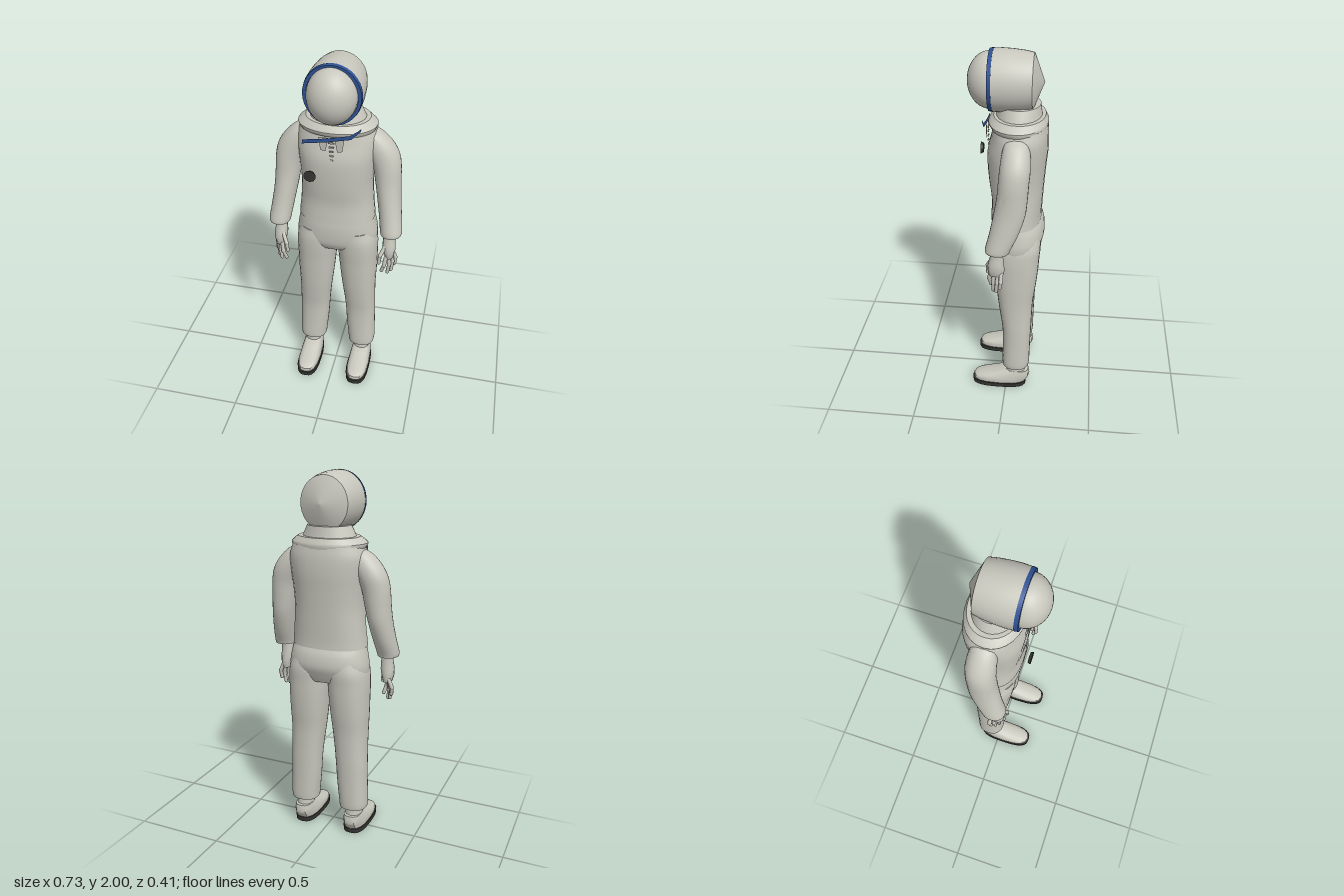
import * as THREE from 'three';
import { toCreasedNormals } from 'three/addons/utils/BufferGeometryUtils.js';

const material = (name, color, extra = {}) => {
  const m = new THREE.MeshStandardMaterial({ color, ...extra });
  m.name = name;
  return m;
};

// Closed loft through horizontal rings [y, centreX, halfWidth, zBack, zFront], listed upwards
function loft(rings, { sides = 28, steps = 4, power = 0.85, crease = 0.8 } = {}) {
  const centres = new THREE.CatmullRomCurve3(
    rings.map(([y, cx, , b, f]) => new THREE.Vector3(cx, y, (b + f) / 2)), false, 'catmullrom');
  const radii = new THREE.CatmullRomCurve3(
    rings.map(([, , rx, b, f]) => new THREE.Vector3(rx, 0, (f - b) / 2)), false, 'catmullrom');
  const n = (rings.length - 1) * steps;
  const pos = [], idx = [];
  const bend = v => Math.sign(v) * Math.abs(v) ** power;
  for (let i = 0; i <= n; i++) {
    const c = centres.getPoint(i / n), r = radii.getPoint(i / n);
    for (let j = 0; j < sides; j++) {
      const t = (j / sides) * Math.PI * 2;
      pos.push(c.x + r.x * bend(Math.cos(t)), c.y, c.z + r.z * bend(Math.sin(t)));
    }
  }
  for (let i = 0; i < n; i++) for (let j = 0; j < sides; j++) {
    const k = (j + 1) % sides;
    const a = i * sides + j, b = i * sides + k, c = a + sides, d = b + sides;
    idx.push(a, c, b, b, c, d);
  }
  // End caps
  const low = pos.length / 3, high = low + 1, last = n * sides;
  pos.push(...centres.getPoint(0).toArray(), ...centres.getPoint(1).toArray());
  for (let j = 0; j < sides; j++) {
    const k = (j + 1) % sides;
    idx.push(low, j, k, high, last + k, last + j);
  }
  const g = new THREE.BufferGeometry();
  g.setAttribute('position', new THREE.Float32BufferAttribute(pos, 3));
  g.setIndex(idx);
  return toCreasedNormals(g, crease);
}

// Lathe turned to run along z, slightly taller than wide
function latheZ(profile, crease = 0.6) {
  const g = new THREE.LatheGeometry(profile.map(([r, z]) => new THREE.Vector2(r, z)), 40);
  g.rotateX(Math.PI / 2).scale(1, 1.065, 1).translate(0, 1.845, 0);
  return toCreasedNormals(g, crease);
}

export function createModel() {
  const model = new THREE.Group();
  const suit = material('suit grey', 0xc9c8be);
  const blue = material('trim blue', 0x2f5294, { side: THREE.DoubleSide });
  const dark = material('sole black', 0x353532);
  const flap = material('flap grey', 0xc0bfb5, { side: THREE.DoubleSide });
  const add = (name, geometry, mat = suit, parent = model) => {
    const mesh = new THREE.Mesh(geometry, mat);
    mesh.name = name;
    parent.add(mesh);
    return mesh;
  };

  // Jacket and hips
  add('jacket', loft([
    [1.10, 0, 0.207, -0.178, 0.092], [1.14, 0, 0.203, -0.178, 0.09], [1.22, 0, 0.195, -0.182, 0.088],
    [1.32, 0, 0.19, -0.188, 0.1], [1.42, 0, 0.197, -0.196, 0.107], [1.5, 0, 0.205, -0.203, 0.105],
    [1.58, 0, 0.208, -0.203, 0.085], [1.64, 0, 0.19, -0.195, 0.075]]));
  add('hips', loft([
    [0.91, 0, 0.19, -0.16, 0.06], [0.95, 0, 0.218, -0.178, 0.08], [1.0, 0, 0.222, -0.195, 0.088],
    [1.06, 0, 0.212, -0.19, 0.09], [1.105, 0, 0.202, -0.172, 0.087]]));

  // Neck and flared collar
  add('collar', loft([
    [1.625, 0, 0.195, -0.197, 0.09], [1.645, 0, 0.203, -0.2, 0.1], [1.655, 0, 0.198, -0.197, 0.097],
    [1.68, 0, 0.165, -0.186, 0.075]], { steps: 2, crease: 0.5, power: 0.95 }));
  add('neck', loft([
    [1.65, 0, 0.155, -0.175, 0.07], [1.69, 0, 0.138, -0.166, 0.06], [1.735, 0, 0.115, -0.16, 0.05]],
    { power: 1 }));

  // Helmet: shell, conical back, rim and visor
  add('helmetShell', latheZ([[0.13, -0.122], [0.138, -0.08], [0.144, -0.02], [0.146, 0.03], [0.144, 0.076], [0, 0.085]]));
  add('helmetBack', latheZ([[0, -0.176], [0.13, -0.122]]));
  add('helmetRim', latheZ([[0.126, 0.074], [0.146, 0.074], [0.143, 0.094], [0.126, 0.094], [0.126, 0.074]]), blue);
  const visor = add('visor', new THREE.SphereGeometry(1, 36, 24));
  visor.scale.set(0.124, 0.142, 0.115);
  visor.position.set(0, 1.845, 0.09);

  // Flat neck ribbon
  const ribbon = new THREE.Shape([
    [-0.147, 1.588], [-0.02, 1.609], [0.1, 1.637], [0.145, 1.685], [0.15, 1.702],
    [0.125, 1.68], [0.09, 1.656], [-0.02, 1.63], [-0.145, 1.61]].map(p => new THREE.Vector2(...p)));
  const ribbonMesh = add('neckRibbon', new THREE.ShapeGeometry(ribbon), blue);
  ribbonMesh.position.z = 0.115;

  // Throat flaps and laced placket
  for (const s of [-1, 1]) {
    const tab = new THREE.Shape([[s * 0.015, 1.63], [s * 0.065, 1.63], [s * 0.055, 1.56], [s * 0.03, 1.555]]
      .map(p => new THREE.Vector2(...p)));
    add('throatFlap', new THREE.ShapeGeometry(tab), flap).position.z = 0.108;
  }
  for (let i = 0; i < 5; i++) {
    const lace = add('lace', new THREE.BoxGeometry(0.03 - i * 0.004, 0.007, 0.006));
    lace.position.set(0, 1.6 - i * 0.024, 0.105);
  }

  // Chest button
  const button = new THREE.CylinderGeometry(0.032, 0.026, 0.014, 10).rotateX(Math.PI / 2);
  add('chestButton', toCreasedNormals(button, 0.5), dark).position.set(-0.1, 1.43, 0.152);

  for (const s of [-1, 1]) {
    const mirror = rings => rings.map(([y, cx, ...rest]) => [y, cx * s, ...rest]);
    const side = s > 0 ? 'left' : 'right';

    // Sleeve
    add(side + 'Sleeve', loft(mirror([
      [1.05, 0.307, 0.056, -0.035, 0.09], [1.07, 0.306, 0.059, -0.042, 0.09], [1.15, 0.294, 0.06, -0.078, 0.07],
      [1.25, 0.279, 0.063, -0.11, 0.05], [1.34, 0.268, 0.068, -0.12, 0.035], [1.42, 0.258, 0.074, -0.125, 0.028],
      [1.49, 0.236, 0.082, -0.13, 0.022], [1.55, 0.203, 0.08, -0.125, 0.015], [1.6, 0.172, 0.06, -0.11, 0],
      [1.625, 0.15, 0.03, -0.09, -0.03]]), { power: 0.95 }));

    // Hand with thumb and fingers
    const hand = new THREE.Group();
    hand.name = side + 'Hand';
    model.add(hand);
    add('palm', loft(mirror([
      [0.9, 0.305, 0.022, -0.002, 0.072], [0.93, 0.305, 0.03, -0.008, 0.08], [0.97, 0.302, 0.036, -0.005, 0.078],
      [1.02, 0.3, 0.032, 0, 0.065], [1.06, 0.303, 0.03, 0, 0.06]]), { sides: 12, steps: 2 }), suit, hand);
    const digits = {
      thumb: [[0.285, 0.98, 0.06], [0.262, 0.93, 0.085], [0.256, 0.88, 0.085]],
      indexFinger: [[0.292, 0.91, 0.066], [0.285, 0.86, 0.075], [0.271, 0.815, 0.068]],
      middleFinger: [[0.304, 0.91, 0.045], [0.309, 0.85, 0.052], [0.302, 0.797, 0.052]],
      ringFinger: [[0.313, 0.91, 0.024], [0.325, 0.86, 0.03], [0.319, 0.805, 0.036]],
      littleFinger: [[0.318, 0.92, 0.008], [0.338, 0.875, 0.008], [0.334, 0.835, 0.015]],
    };
    for (const [name, points] of Object.entries(digits)) {
      const p = points.map(([x, y, z]) => new THREE.Vector3(x * s, y, z));
      for (let i = 0; i < 2; i++) {
        const dir = p[i + 1].clone().sub(p[i]);
        const bone = add(name, new THREE.CapsuleGeometry(0.0115 - i * 0.0015, dir.length(), 3, 8), suit, hand);
        bone.position.copy(p[i]).addScaledVector(dir, 0.5);
        bone.quaternion.setFromUnitVectors(new THREE.Vector3(0, 1, 0), dir.normalize());
      }
    }

    // Trouser leg
    add(side + 'TrouserLeg', loft(mirror([
      [0.155, 0.15, 0.077, -0.133, 0.02], [0.19, 0.15, 0.08, -0.136, 0.022], [0.3, 0.143, 0.084, -0.138, 0.02],
      [0.42, 0.138, 0.087, -0.142, 0.022], [0.52, 0.132, 0.09, -0.145, 0.035], [0.62, 0.126, 0.096, -0.15, 0.048],
      [0.72, 0.122, 0.103, -0.163, 0.058], [0.82, 0.118, 0.108, -0.173, 0.067], [0.9, 0.115, 0.111, -0.178, 0.076],
      [0.97, 0.112, 0.108, -0.183, 0.08], [1.03, 0.105, 0.095, -0.175, 0.075]])));

    // Shoe: ankle, upper and sole
    add(side + 'Ankle', loft(mirror([
      [0.08, 0.153, 0.052, -0.125, 0.015], [0.12, 0.153, 0.046, -0.112, 0], [0.18, 0.152, 0.048, -0.11, 0]]),
      { sides: 12, steps: 2 }));
    add(side + 'ShoeUpper', loft(mirror([
      [0.02, 0.153, 0.062, -0.112, 0.193], [0.05, 0.153, 0.063, -0.13, 0.193], [0.065, 0.153, 0.06, -0.138, 0.16],
      [0.085, 0.153, 0.056, -0.138, 0.085], [0.112, 0.153, 0.048, -0.132, 0.005]]),
      { sides: 16, steps: 2, power: 0.75, crease: 0.6 }));
    add(side + 'Sole', loft(mirror([
      [0, 0.153, 0.066, -0.117, 0.2], [0.028, 0.153, 0.068, -0.119, 0.201]]),
      { sides: 24, steps: 1, power: 0.7 }), dark);
  }
  return model;
}
